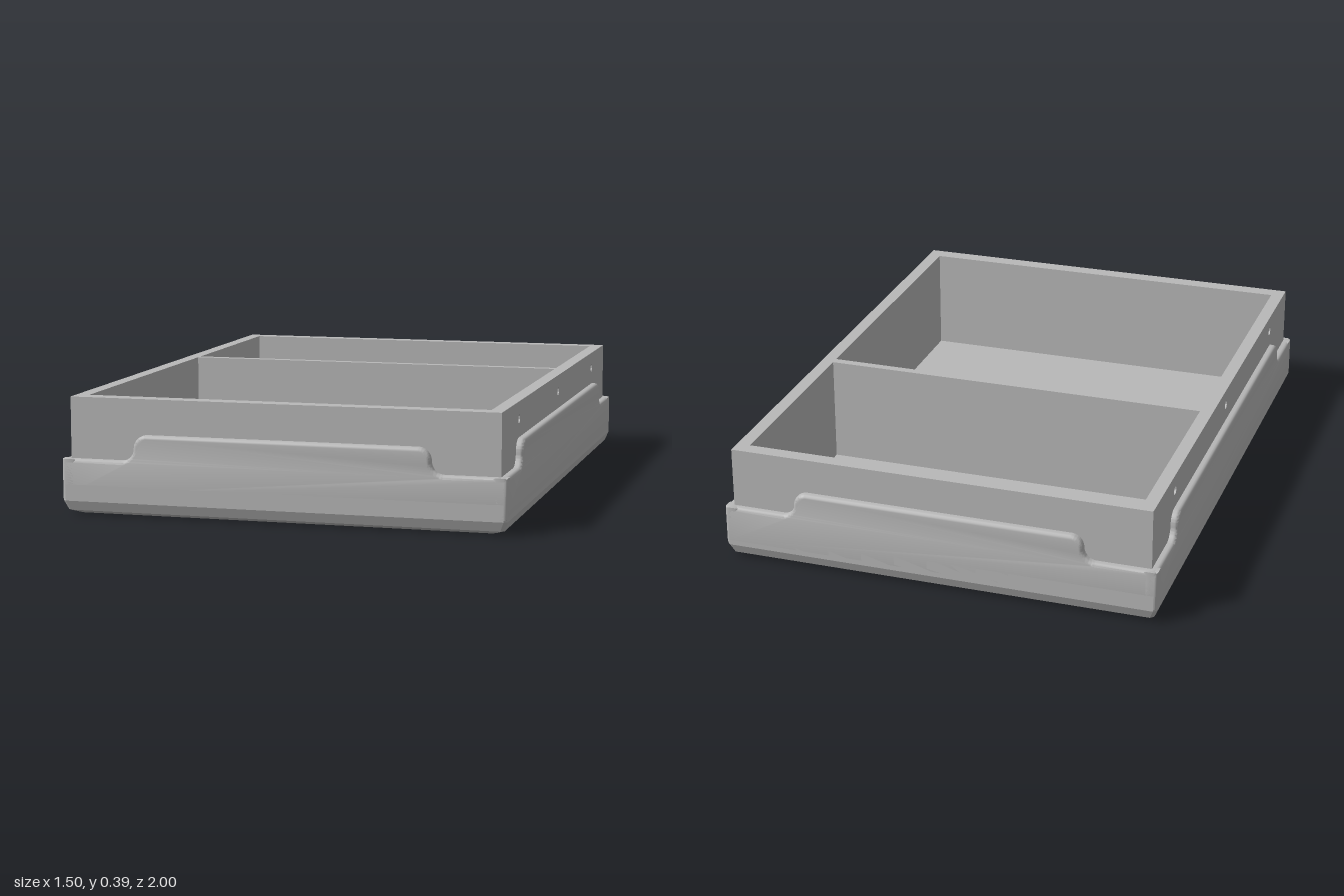
import * as THREE from 'three';
import { toCreasedNormals } from 'three/addons/utils/BufferGeometryUtils.js';

const HX = 0.75, HZ = 1;          // outer half sizes of the skirt
const BX = 0.725, BZ = 0.975;     // outer half sizes of the box walls
const TOP = 0.39, FLOOR = 0.02, BEVEL = 0.012;

export function createModel() {
  const group = new THREE.Group();
  const grey = new THREE.MeshStandardMaterial({ color: 0xb8b8b8 });
  grey.name = 'light grey';

  const add = (name, geometry) => {
    const mesh = new THREE.Mesh(geometry, grey);
    mesh.name = name;
    group.add(mesh);
    return mesh;
  };
  const box = (name, x0, x1, y0, y1, z0, z1) =>
    add(name, new THREE.BoxGeometry(x1 - x0, y1 - y0, z1 - z0))
      .position.set((x0 + x1) / 2, (y0 + y1) / 2, (z0 + z1) / 2);

  // Base with rounded lower edge: stacked rectangles with clipped corners
  const ring = (inset, y) => {
    const a = HX - inset, b = HZ - inset, c = BEVEL;
    return [[a, b - c], [a, -b + c], [a - c, -b], [-a + c, -b],
      [-a, -b + c], [-a, b - c], [-a + c, b], [a - c, b]]
      .map(([x, z]) => [x, y, z]);
  };
  const rings = [ring(0.045, 0), ring(0.013, 0.013), ring(0, 0.045), ring(0, 0.1)];
  const points = [];
  for (let r = 0; r < rings.length - 1; r++) {
    for (let i = 0; i < 8; i++) {
      const j = (i + 1) % 8;
      const a = rings[r][i], b = rings[r][j], c = rings[r + 1][j], d = rings[r + 1][i];
      points.push(...a, ...b, ...c, ...a, ...c, ...d);
    }
  }
  for (let i = 1; i < 7; i++) points.push(...rings[0][0], ...rings[0][i + 1], ...rings[0][i]);
  const base = new THREE.BufferGeometry();
  base.setAttribute('position', new THREE.Float32BufferAttribute(points, 3));
  base.computeVertexNormals();
  add('base', base);

  // Skirt panel: low at the corners, raised in the middle with S-shaped steps
  const skirtPanel = (half) => {
    const low = 0.185, high = 0.272, r = (high - low) / 2, m = half - 0.25;
    const s = new THREE.Shape();
    s.moveTo(-half, 0.05);
    s.lineTo(half, 0.05);
    s.lineTo(half, low);
    s.lineTo(m + r, low);
    s.absarc(m + r, low + r, r, -Math.PI / 2, -Math.PI, true);
    s.absarc(m - r, low + r, r, 0, Math.PI / 2, false);
    s.lineTo(-m + r, high);
    s.absarc(-m + r, low + r, r, Math.PI / 2, Math.PI, false);
    s.absarc(-m - r, low + r, r, 0, -Math.PI / 2, true);
    s.lineTo(-half, low);
    s.closePath();
    const depth = 0.026;
    const g = new THREE.ExtrudeGeometry(s, {
      depth, bevelEnabled: true, bevelThickness: BEVEL, bevelSize: BEVEL,
      bevelOffset: -BEVEL, bevelSegments: 3, curveSegments: 10,
    });
    g.translate(0, 0, -depth - BEVEL);
    return toCreasedNormals(g, 0.6);
  };
  const endPanel = skirtPanel(HX), sidePanel = skirtPanel(HZ);

  // Outer layer of a side wall with three small blind holes
  const wall = new THREE.Shape();
  wall.moveTo(-BZ, FLOOR);
  wall.lineTo(BZ, FLOOR);
  wall.lineTo(BZ, TOP);
  wall.lineTo(-BZ, TOP);
  wall.closePath();
  for (const u of [-0.7, 0, 0.7]) {
    const hole = new THREE.Path();
    hole.absarc(u, 0.333, 0.015, 0, Math.PI * 2, true);
    wall.holes.push(hole);
  }
  const sideWall = toCreasedNormals(
    new THREE.ExtrudeGeometry(wall, { depth: 0.02, bevelEnabled: false, curveSegments: 16 }), 0.6);

  for (const s of [1, -1]) {
    const end = add(s > 0 ? 'frontSkirt' : 'backSkirt', endPanel);
    end.position.z = s * HZ;
    end.rotation.y = s > 0 ? 0 : Math.PI;

    const label = s > 0 ? 'left' : 'right';
    const side = add(label + 'Skirt', sidePanel);
    side.position.x = s * HX;
    side.rotation.y = s * Math.PI / 2;

    const outer = add(label + 'Wall', sideWall);
    outer.position.x = s * (BX - 0.02);
    outer.rotation.y = s * Math.PI / 2;
    box(label + 'WallLining', Math.min(s * 0.68, s * 0.705), Math.max(s * 0.68, s * 0.705),
      FLOOR, TOP, -BZ, BZ);
  }

  // End walls, divider and floor
  box('frontWall', -0.7, 0.7, FLOOR, TOP, 0.92, BZ);
  box('backWall', -0.7, 0.7, FLOOR, TOP, -BZ, -0.925);
  box('divider', -0.68, 0.68, FLOOR, TOP, -0.2, -0.17);
  box('floor', -0.7, 0.7, 0.005, FLOOR, -0.95, 0.95);

  return group;
}
